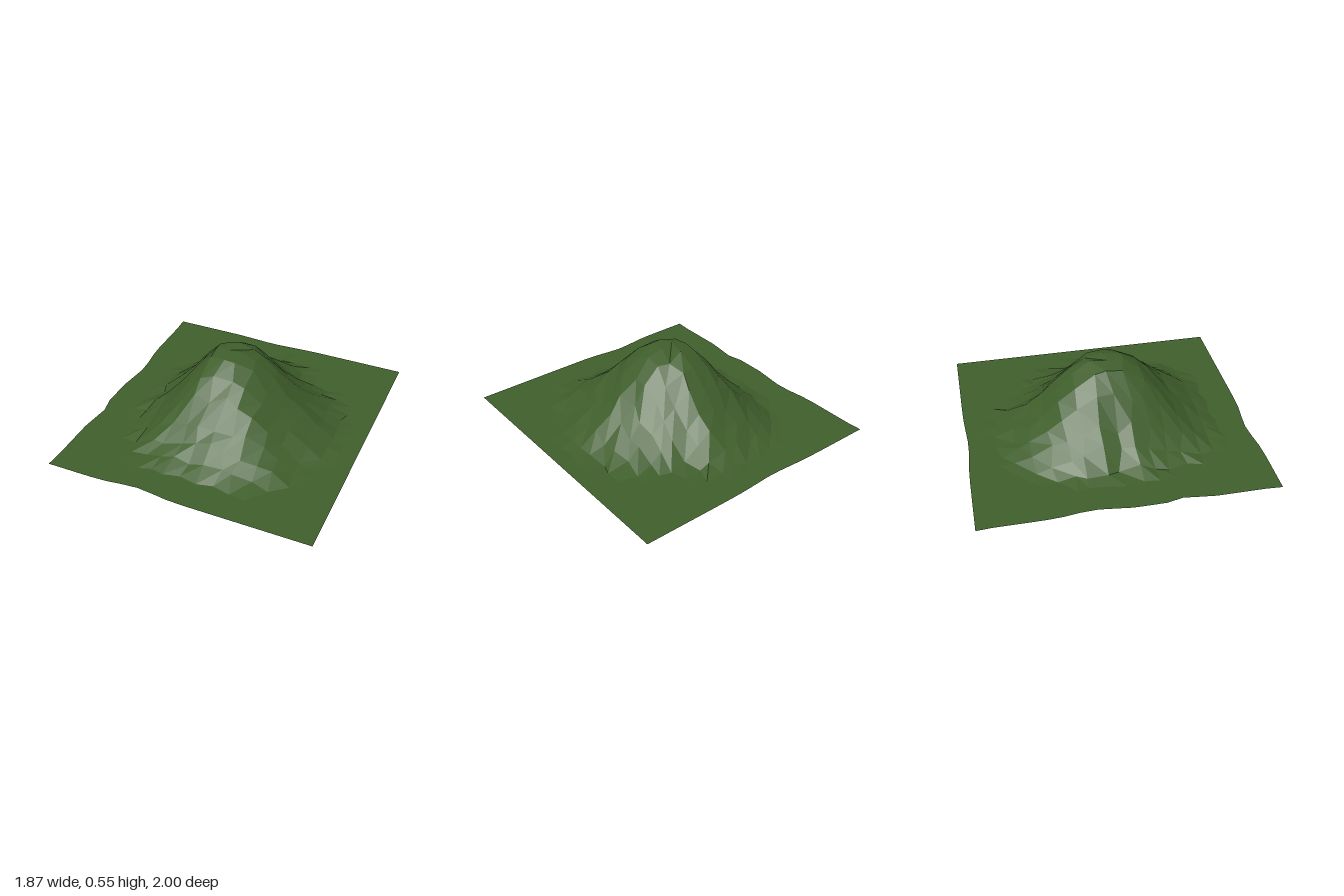
import * as THREE from 'three';

// Base radius of the hill every 15 degrees, from +x towards +z; dips are gullies
const REACH = [0.82, 0.83, 0.79, 0.85, 0.85, 0.79, 0.74, 0.76, 0.77, 0.71, 0.63, 0.64,
  0.57, 0.66, 0.67, 0.72, 0.80, 0.77, 0.79, 0.81, 0.71, 0.73, 0.78, 0.79];

// Slope profile: fraction of the reach, height
const PROFILE = [[0, 0.55], [0.14, 0.548], [0.2, 0.525], [0.3, 0.47], [0.42, 0.375],
  [0.57, 0.24], [0.78, 0.1], [0.93, 0.025], [1, 0]];

const CENTRE_X = -0.04;
const HALF_W = 0.935;

function heightAt(x, z) {
  const dx = x - CENTRE_X;
  const turn = (Math.atan2(z, dx) / (Math.PI * 2) + 1) % 1 * REACH.length;
  const i = Math.floor(turn);
  const reach = THREE.MathUtils.lerp(REACH[i % 24], REACH[(i + 1) % 24], turn - i);
  const t = Math.hypot(dx, z) / reach;
  for (let k = 1; k < PROFILE.length; k++) {
    const [t0, h0] = PROFILE[k - 1], [t1, h1] = PROFILE[k];
    if (t <= t1) return THREE.MathUtils.lerp(h0, h1, (t - t0) / (t1 - t0));
  }
  return 0;
}

// Small repeatable random numbers in -1..1
function seeded(seed) {
  return () => {
    seed = (seed * 16807) % 2147483647;
    return seed / 1073741823.5 - 1;
  };
}

export function createModel() {
  const group = new THREE.Group();
  group.name = 'hillTerrain';
  const rand = seeded(4217);

  // Ground sheet, raised into a hill
  const geometry = new THREE.PlaneGeometry(HALF_W * 2, 2, 17, 18);
  geometry.rotateX(-Math.PI / 2);
  const p = geometry.attributes.position;
  for (let i = 0; i < p.count; i++) {
    let x = p.getX(i), z = p.getZ(i);
    const sideEdge = Math.abs(x) > HALF_W - 0.01;
    const endEdge = Math.abs(z) > 0.99;
    const jx = rand() * 0.024, jz = rand() * 0.024;

    if (!sideEdge && !endEdge) { // uneven cells inside the sheet
      x += jx;
      z += jz;
    } else if (sideEdge && x < 0 && !endEdge) { // wavy left border
      x += 0.035 * Math.max(Math.exp(-(((z + 0.25) / 0.2) ** 2)), Math.exp(-(((z - 0.36) / 0.11) ** 2)), 0.2);
    } else if (endEdge && !sideEdge) { // shallow notches at the front and back
      if (z > 0) z -= 0.03 * Math.exp(-(((x + 0.28) / 0.17) ** 2));
      else z += 0.017 * Math.exp(-(((x + 0.1) / 0.2) ** 2));
    }
    const h = heightAt(x, z);
    // Slight roughness on the slopes only
    const rough = h > 0.03 && h < 0.5 ? rand() * 0.012 : 0;
    p.setXYZ(i, x, h + rough, z);
  }
  geometry.computeVertexNormals();

  const terrain = new THREE.Mesh(geometry, new THREE.MeshStandardMaterial({
    color: 0x3f5e2b, flatShading: true, side: THREE.DoubleSide,
  }));
  terrain.name = 'grassyHill';
  group.add(terrain);
  return group;
}
